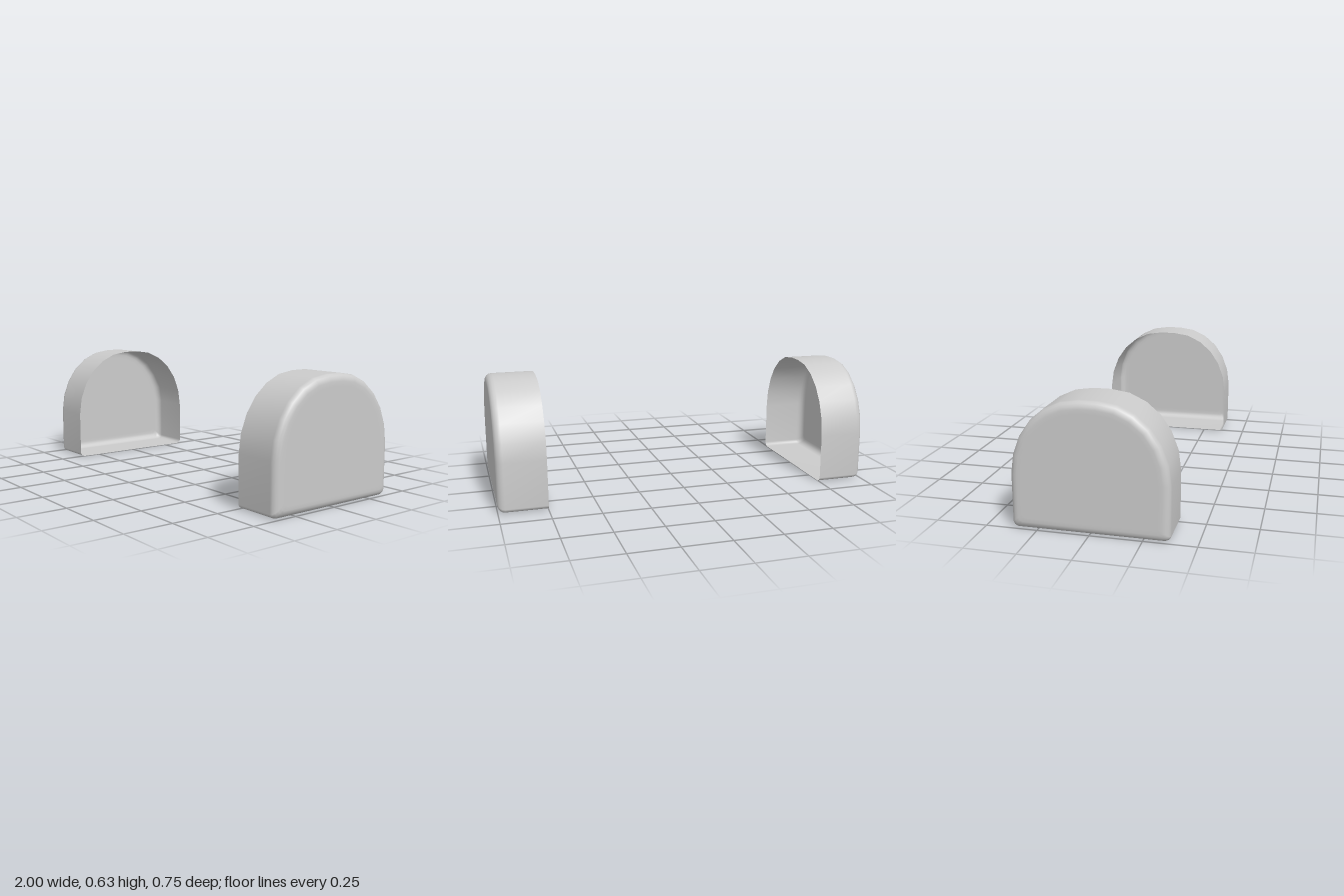
import * as THREE from 'three';

const H = 0.628, W = 0.375, BEVEL = 0.036;

// half of the arched outline as [z, y], from the base corner up to the crown
const HALF = [
  [0.351, 0], [0.368, 0.008], [0.375, 0.022], [0.375, 0.261], [0.362, 0.357], [0.328, 0.446],
  [0.277, 0.52], [0.209, 0.578], [0.13, 0.615], [0.043, H],
];

// thin arched cup: open on its inner side, closed by a flat face with a rounded rim
function cupGeometry() {
  const outline = [
    ...HALF.map(([z, y]) => [-z, y]),
    ...HALF.slice().reverse(),
  ];
  const n = outline.length;

  // rings as [x, inset]: straight wall, then a quarter-round, then the face
  const rings = [[0.749, 0]];
  for (let k = 0; k <= 4; k++) {
    const a = (k / 4) * Math.PI / 2;
    rings.push([1 - BEVEL + BEVEL * Math.sin(a), BEVEL * (1 - Math.cos(a))]);
  }
  rings.push([1, BEVEL + 0.02]);

  const pos = [], index = [];
  for (const [x, d] of rings) {
    const sz = (W - d) / W, sy = (H / 2 - d) / (H / 2);
    for (const [z, y] of outline) pos.push(x, H / 2 + (y - H / 2) * sy, z * sz);
  }
  for (let j = 0; j < rings.length - 1; j++) {
    for (let i = 0; i < n; i++) {
      const a = j * n + i, b = j * n + (i + 1) % n;
      index.push(a, b, a + n, b, b + n, a + n);
    }
  }

  // flat outer face
  const centre = rings.length * n, last = centre - n;
  pos.push(1, H / 2, 0);
  for (let i = 0; i < n; i++) index.push(centre, last + i, last + (i + 1) % n);

  const g = new THREE.BufferGeometry();
  g.setAttribute('position', new THREE.Float32BufferAttribute(pos, 3));
  g.setIndex(index);
  g.computeVertexNormals();
  return g;
}

export function createModel() {
  const model = new THREE.Group();
  model.name = 'pairOfArchedCups';
  const material = new THREE.MeshStandardMaterial({ color: 0xcccccc, side: THREE.DoubleSide });
  const geometry = cupGeometry();

  // the right cup is the left one turned half way round
  for (const [name, turn] of [['leftCup', 0], ['rightCup', Math.PI]]) {
    const cup = new THREE.Mesh(geometry, material);
    cup.name = name;
    cup.rotation.y = turn;
    model.add(cup);
  }
  return model;
}
